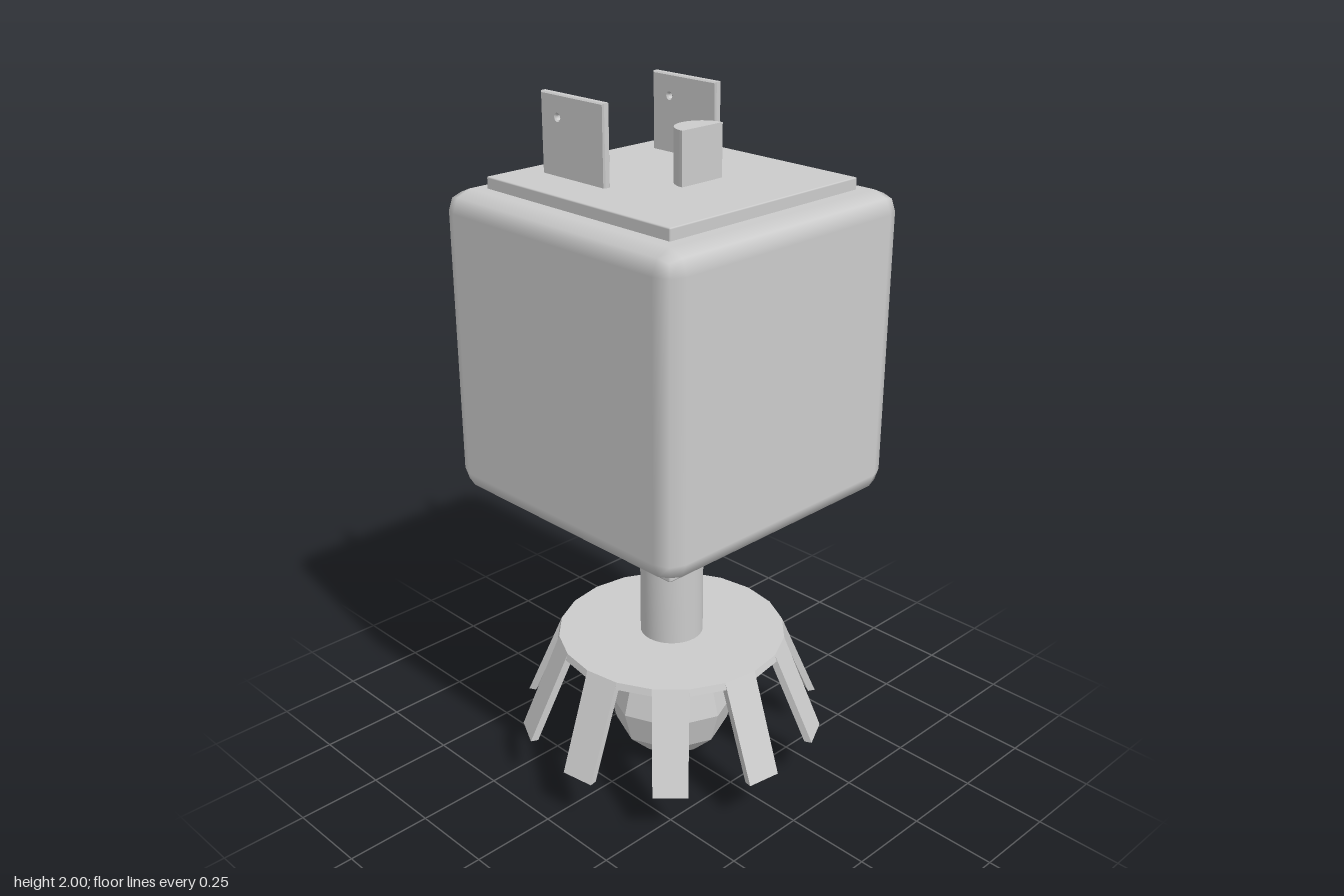
import * as THREE from 'three';
import { toCreasedNormals } from 'three/addons/utils/BufferGeometryUtils.js';
import { RoundedBoxGeometry } from 'three/addons/geometries/RoundedBoxGeometry.js';

export function createModel() {
  const model = new THREE.Group();
  const smooth = new THREE.MeshStandardMaterial({ color: 0xcccccc });
  const faceted = new THREE.MeshStandardMaterial({ color: 0xcccccc, flatShading: true });

  function add(name, geometry, material = smooth, x = 0, y = 0, z = 0) {
    const mesh = new THREE.Mesh(geometry, material);
    mesh.name = name;
    mesh.position.set(x, y, z);
    model.add(mesh);
    return mesh;
  }

  // Cube body with chamfered edges and a thin plate above and below
  add('body', new RoundedBoxGeometry(0.86, 0.86, 0.86, 1, 0.058), smooth, 0, 1.325, 0);
  add('topPlate', new RoundedBoxGeometry(0.68, 0.04, 0.68, 1, 0.004), smooth, 0, 1.767, 0);
  add('bottomPlate', new RoundedBoxGeometry(0.72, 0.04, 0.72, 1, 0.006), smooth, 0, 0.887, 0);

  // Two flat plug blades, each with a small hole
  const bevel = 0.004;
  const bladeShape = new THREE.Shape();
  bladeShape.moveTo(0.03 + bevel, 1.77);
  bladeShape.lineTo(0.27 - bevel, 1.77);
  bladeShape.lineTo(0.27 - bevel, 2 - bevel);
  bladeShape.lineTo(0.03 + bevel, 2 - bevel);
  const hole = new THREE.Path();
  hole.absarc(0.205, 1.94, 0.012, 0, Math.PI * 2, true);
  bladeShape.holes.push(hole);
  const bladeGeometry = new THREE.ExtrudeGeometry(bladeShape, {
    depth: 0.014, bevelThickness: bevel, bevelSize: bevel, bevelSegments: 1, curveSegments: 8,
  });
  bladeGeometry.translate(0, 0, -0.007).rotateY(Math.PI / 2);
  for (const [name, x] of [['leftPlugBlade', 0.203], ['rightPlugBlade', -0.197]]) {
    add(name, bladeGeometry, smooth, x);
  }

  // Half-round ground pin, flat side to the front
  const pinShape = new THREE.Shape();
  pinShape.absarc(0, 0, 0.073, 0, Math.PI, false);
  pinShape.closePath();
  const pinGeometry = new THREE.ExtrudeGeometry(pinShape, { depth: 0.15, bevelEnabled: false, curveSegments: 16 });
  pinGeometry.rotateX(-Math.PI / 2);
  add('groundPin', toCreasedNormals(pinGeometry, 0.6), smooth, 0.014, 1.78, 0.097);

  // Shaft flaring into a collar and flange beneath the body
  const neckProfile = [
    [0.092, 0.41], [0.092, 0.716], [0.105, 0.72], [0.172, 0.855],
    [0.225, 0.855], [0.225, 0.87], [0, 0.87],
  ].map(([r, y]) => new THREE.Vector2(r, y));
  add('neck', toCreasedNormals(new THREE.LatheGeometry(neckProfile, 32), 0.4));

  // Rotor disc with ten blades splaying down and outward
  const count = 10, rim = 0.335, top = 0.43, tip = 0.15;
  add('rotorDisc', new THREE.CylinderGeometry(rim, rim + 0.006, 0.02, count * 2), faceted, 0, top - 0.01, 0);

  const rotorBlade = new THREE.BoxGeometry(1, 1, 1);
  const p = rotorBlade.attributes.position;
  for (let i = 0; i < p.count; i++) {
    const upper = p.getY(i) > 0, outer = p.getZ(i) > 0;
    const halfWidth = upper ? rim * Math.sin(Math.PI / 20) : 0.05;
    const radius = (upper ? rim * Math.cos(Math.PI / 20) : 0.45) - (outer ? 0 : 0.022);
    p.setXYZ(i, Math.sign(p.getX(i)) * halfWidth, upper ? top : tip, radius);
  }
  for (let i = 0; i < count; i++) {
    add('rotorBlade' + (i + 1), rotorBlade, faceted).rotation.y = (i - 0.25) * Math.PI * 2 / count;
  }

  // Faceted ball under the rotor
  add('ball', new THREE.SphereGeometry(0.195, 8, 6), faceted, 0.014, 0.195, -0.014);

  return model;
}
